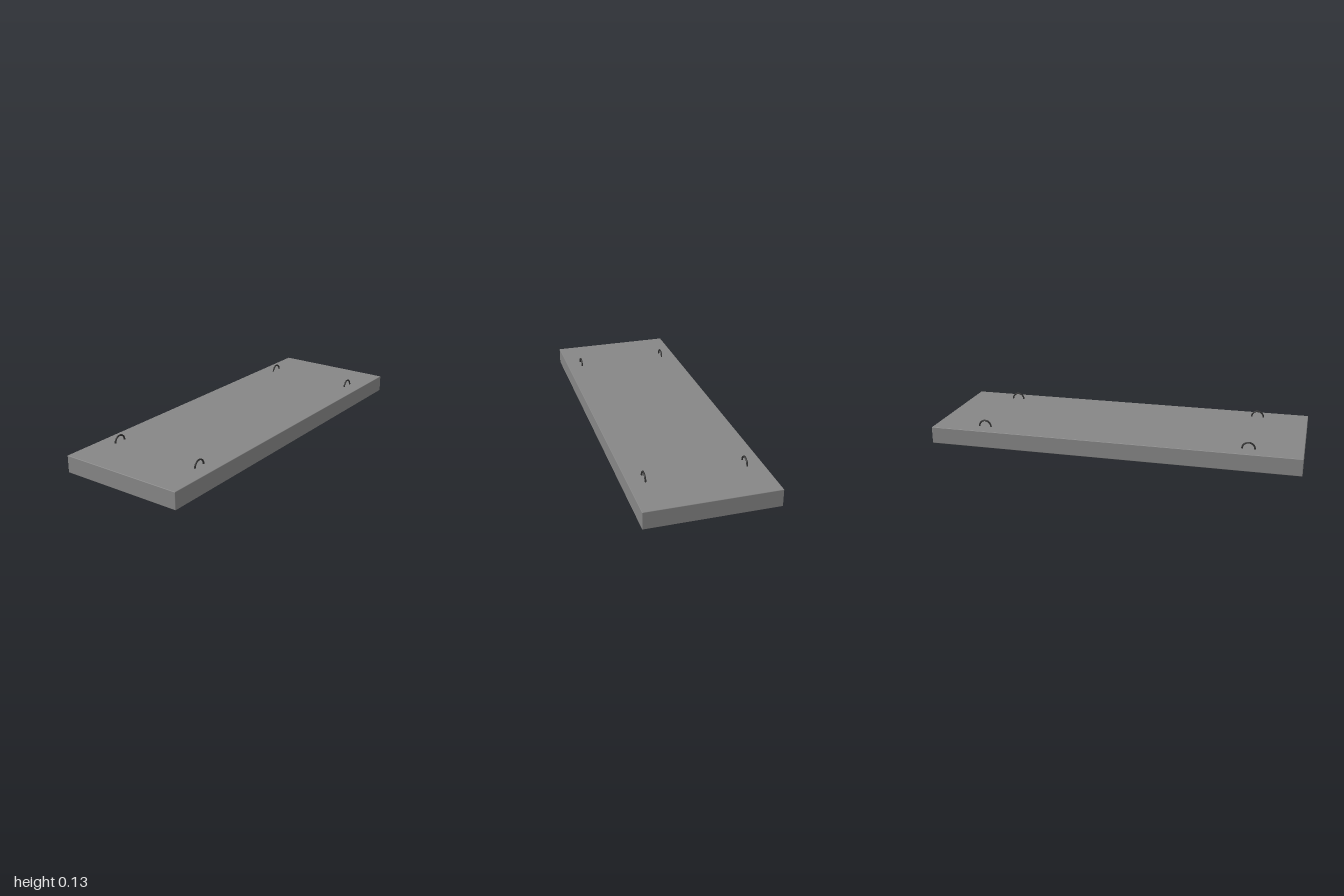
import * as THREE from 'three';
import { RoundedBoxGeometry } from 'three/addons/geometries/RoundedBoxGeometry.js';

export function createModel() {
  const group = new THREE.Group();
  const slabMaterial = new THREE.MeshStandardMaterial({ color: 0x868686 });
  const loopMaterial = new THREE.MeshStandardMaterial({ color: 0x333333 });
  const width = 0.687, height = 0.092, length = 2;

  // Slab with finely eased edges
  const slab = new THREE.Mesh(new RoundedBoxGeometry(width, height, length, 2, 0.003), slabMaterial);
  slab.name = 'slab';
  slab.position.y = height / 2;
  group.add(slab);

  // Four half-ring lifting loops, standing along the length near the corners
  const loopGeometry = new THREE.TorusGeometry(0.033, 0.0045, 10, 24, Math.PI);
  loopGeometry.rotateY(Math.PI / 2);
  for (const [side, x] of [['left', 0.258], ['right', -0.258]]) {
    for (const [end, z] of [['Front', 0.72], ['Back', -0.72]]) {
      const loop = new THREE.Mesh(loopGeometry, loopMaterial);
      loop.name = `${side}${end}LiftingLoop`;
      loop.position.set(x, height, z);
      group.add(loop);
    }
  }
  return group;
}
